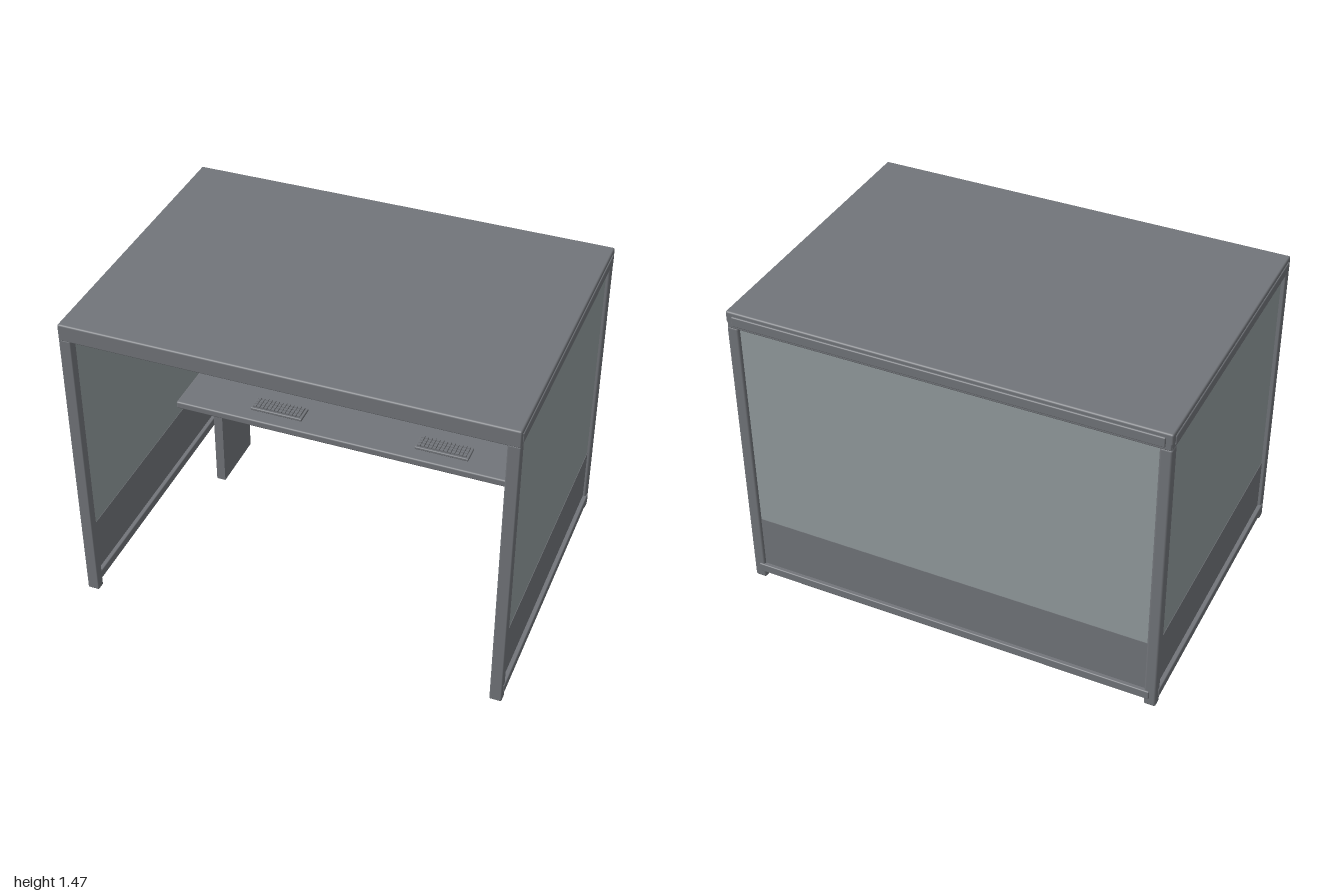
import * as THREE from 'three';
import { RoundedBoxGeometry } from 'three/addons/geometries/RoundedBoxGeometry.js';

export function createModel() {
  const model = new THREE.Group();
  model.name = 'workBooth';

  const frame = new THREE.MeshStandardMaterial({ color: 0x72757a });
  frame.name = 'grey frame';
  const glass = new THREE.MeshStandardMaterial({ color: 0x939c9e });
  glass.name = 'pale glass';

  // Box given by its min/max extents, optionally with rounded edges
  function box(name, [x0, x1], [y0, y1], [z0, z1], material = frame, radius = 0, parent = model) {
    const w = x1 - x0, h = y1 - y0, d = z1 - z0;
    const geometry = radius
      ? new RoundedBoxGeometry(w, h, d, 2, radius)
      : new THREE.BoxGeometry(w, h, d);
    const mesh = new THREE.Mesh(geometry, material);
    mesh.name = name;
    mesh.position.set((x0 + x1) / 2, (y0 + y1) / 2, (z0 + z1) / 2);
    parent.add(mesh);
    return mesh;
  }
  // Mirror an x range to the chosen side
  const side = (s, a, b) => (s > 0 ? [a, b] : [-b, -a]);

  // Roof slab with perimeter beams
  box('roof', [-0.995, 0.995], [1.41, 1.465], [-0.705, 0.71], frame, 0.008);
  box('frontBeam', [-0.995, 0.995], [1.385, 1.46], [0.66, 0.71], frame, 0.006);
  box('backBeam', [-0.99, 0.99], [1.385, 1.46], [-0.705, -0.65], frame, 0.006);

  // Back wall: rails, lower panel, glass
  box('backTopRail', [-0.965, 0.965], [1.4, 1.447], [-0.712, -0.66], frame, 0.005);
  box('backBottomRail', [-0.965, 0.965], [0.04, 0.083], [-0.712, -0.65], frame, 0.005);
  box('backLowerPanel', [-0.945, 0.945], [0.06, 0.345], [-0.693, -0.673]);
  box('backGlass', [-0.945, 0.945], [0.345, 1.39], [-0.691, -0.675], glass);

  for (const s of [1, -1]) {
    // Corner posts
    box('frontPost', side(s, 0.94, 0.995), [0, 1.39], [0.667, 0.71], frame, 0.006);
    box('backPost', side(s, 0.94, 0.995), [0, 1.39], [-0.705, -0.655], frame, 0.01);

    // Side wall: beam, rails, lower panel, glass
    box('sideBeam', side(s, 0.94, 0.993), [1.385, 1.46], [-0.7, 0.705], frame, 0.006);
    box('sideTopRail', side(s, 0.95, 1), [1.4, 1.447], [-0.678, 0.69], frame, 0.005);
    box('sideBottomRail', side(s, 0.94, 1), [0.04, 0.083], [-0.678, 0.69], frame, 0.005);
    box('sideLowerPanel', side(s, 0.96, 0.98), [0.06, 0.345], [-0.66, 0.663]);
    box('sideGlass', side(s, 0.962, 0.978), [0.345, 1.39], [-0.66, 0.66], glass);

    // Ceiling light and desk leg
    box('ceilingLight', side(s, 0.24, 0.69), [1.355, 1.412], [-0.12, 0.12], glass);
    box('deskLeg', side(s, 0.718, 0.762), [0.015, 0.505], [-0.52, -0.21]);
  }

  // Desk top
  box('deskTop', [-0.897, 0.897], [0.498, 0.535], [-0.645, -0.09], frame, 0.008);

  // Monitor and keyboard sets
  for (const x of [-0.412, 0.408]) {
    const station = new THREE.Group();
    station.name = 'workstation';
    station.position.x = x;
    model.add(station);
    const part = (name, xr, yr, zr, r = 0) => box(name, xr, yr, zr, frame, r, station);

    // Screen with a thin raised bezel
    part('monitorBody', [-0.252, 0.252], [0.62, 0.92], [-0.47, -0.408], 0.004);
    part('bezelTop', [-0.252, 0.252], [0.91, 0.92], [-0.41, -0.402]);
    part('bezelBottom', [-0.252, 0.252], [0.62, 0.628], [-0.41, -0.402]);
    for (const s of [1, -1]) part('bezelSide', side(s, 0.247, 0.252), [0.62, 0.92], [-0.41, -0.402]);

    // Stand
    part('standBase', [-0.1, 0.1], [0.535, 0.548], [-0.53, -0.4], 0.004);
    part('standColumn', [-0.02, 0.018], [0.54, 0.76], [-0.5, -0.47]);

    // Cable running from the screen through the desk
    const path = new THREE.CatmullRomCurve3([
      new THREE.Vector3(0.045, 0.66, -0.475),
      new THREE.Vector3(0.035, 0.6, -0.53),
      new THREE.Vector3(0.01, 0.55, -0.57),
      new THREE.Vector3(0, 0.49, -0.58),
      new THREE.Vector3(0, 0.41, -0.58),
    ]);
    const cable = new THREE.Mesh(new THREE.TubeGeometry(path, 20, 0.009, 8), frame);
    cable.name = 'cable';
    station.add(cable);

    // Keyboard with rows of keys
    part('keyboardBase', [-0.13, 0.13], [0.535, 0.549], [-0.25, -0.16], 0.004);
    for (let row = 0; row < 4; row++) {
      for (let col = 0; col < 13; col++) {
        const kx = -0.12 + col * 0.0185, kz = -0.243 + row * 0.0195;
        part('key', [kx, kx + 0.015], [0.547, 0.558], [kz, kz + 0.016]);
      }
    }
  }

  return model;
}
